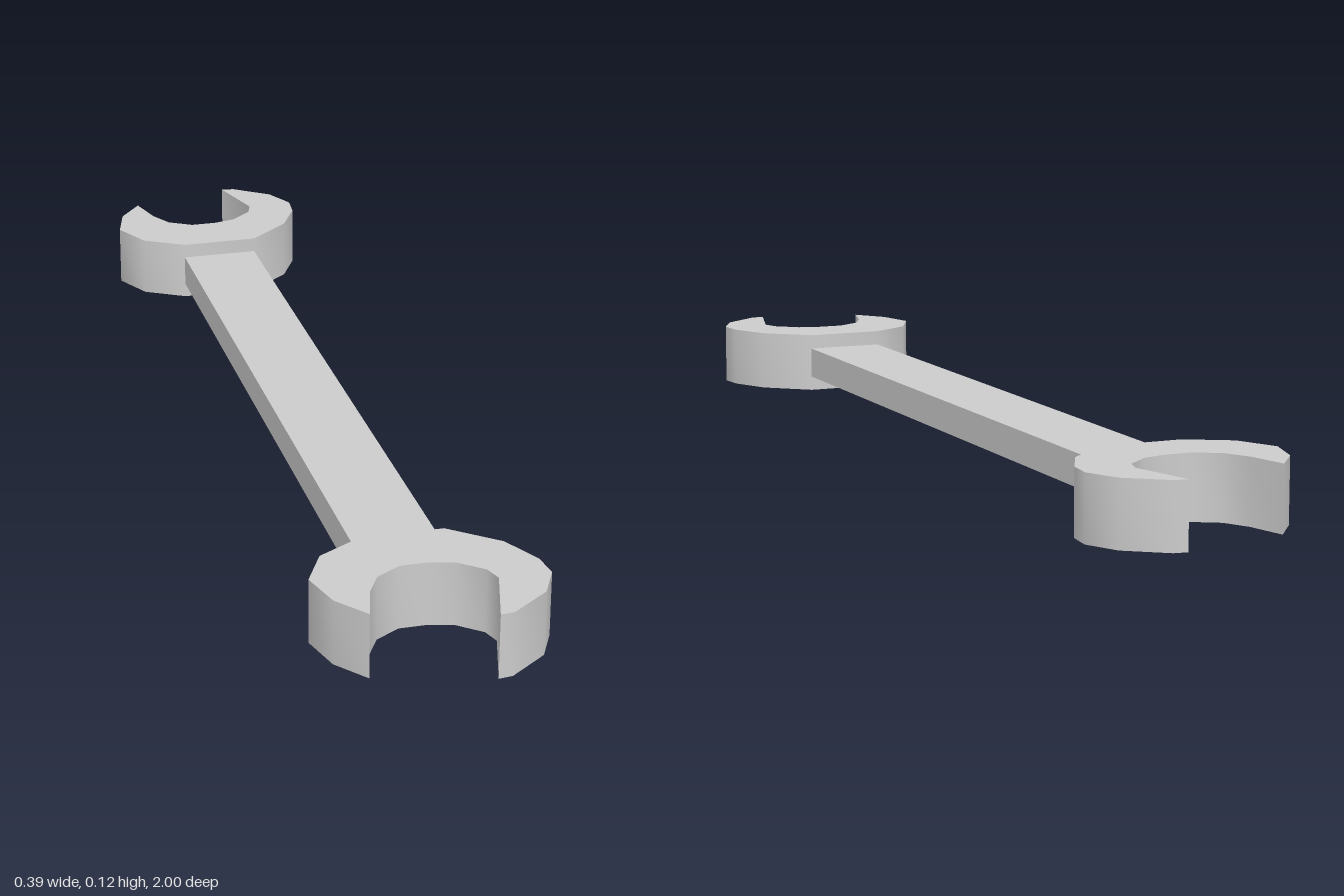
import * as THREE from 'three';
import { toCreasedNormals } from 'three/addons/utils/BufferGeometryUtils.js';

const HEIGHT = 0.117;

// Open jaw outline as [x, z]: outer edge, then the inside of the jaw
const JAW = [
  [-0.08, 0.692], [0.07, 0.692], [0.153, 0.762], [0.19, 0.835], [0.195, 0.885],
  [0.165, 0.945], [0.095, 0.997], [0.07, 1.0],
  [0.105, 0.882], [0.095, 0.85], [0.053, 0.814], [0.01, 0.803], [-0.04, 0.803],
  [-0.085, 0.83], [-0.11, 0.875], [-0.13, 0.948],
  [-0.175, 0.89], [-0.196, 0.812], [-0.158, 0.737],
];

function jawHead(end, material) {
  const shape = new THREE.Shape(JAW.map(([x, z]) => new THREE.Vector2(x, z * end)));
  const geometry = new THREE.ExtrudeGeometry(shape, { depth: HEIGHT, bevelEnabled: false });
  // Lay the outline flat, standing on the ground
  geometry.rotateX(Math.PI / 2).translate(0, HEIGHT, 0);
  // Rounded sides are smooth, jaw tips and rims stay sharp
  return new THREE.Mesh(toCreasedNormals(geometry, 0.95), material);
}

export function createModel() {
  const group = new THREE.Group();
  group.name = 'wrench';
  const material = new THREE.MeshStandardMaterial({ color: 0xcccccc });

  // Flat handle, thinner than the heads
  const handle = new THREE.Mesh(new THREE.BoxGeometry(0.15, 0.06, 1.384), material);
  handle.name = 'handle';
  handle.position.set(-0.005, HEIGHT / 2, 0);
  group.add(handle);

  // Heads mirrored front to back
  for (const end of [1, -1]) {
    const head = jawHead(end, material);
    head.name = end > 0 ? 'frontJaw' : 'backJaw';
    group.add(head);
  }
  return group;
}
